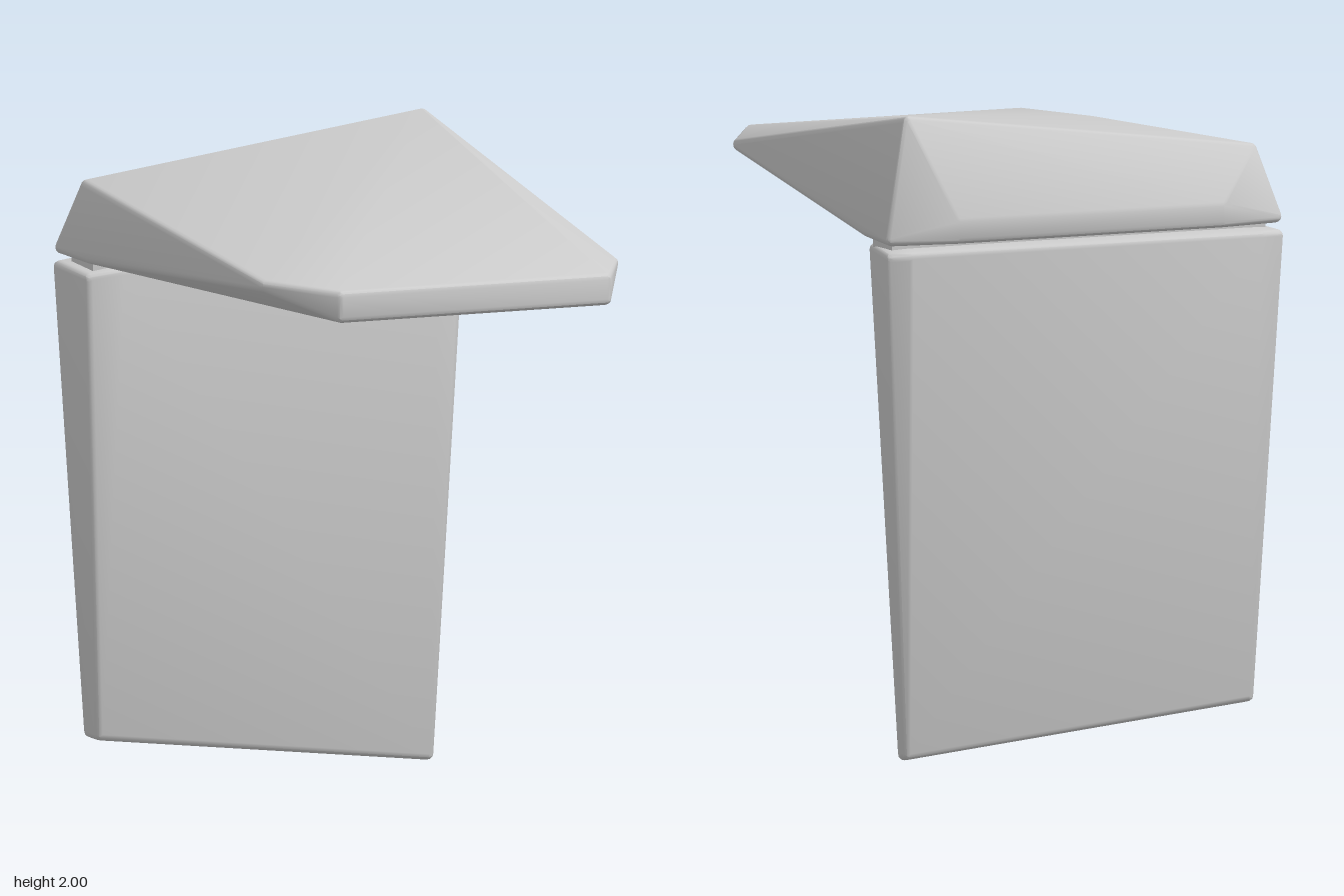
import * as THREE from 'three';
import { ConvexGeometry } from 'three/addons/geometries/ConvexGeometry.js';
import { toCreasedNormals } from 'three/addons/utils/BufferGeometryUtils.js';

// Convex block whose corners are small spheres, giving rounded edges.
// The sphere centres sit at the listed corners.
function roundedHull(corners, radius) {
  const ball = new THREE.IcosahedronGeometry(radius, 1).getAttribute('position');
  const points = [];
  const seen = new Set();
  for (const [x, y, z] of corners) {
    for (let i = 0; i < ball.count; i++) {
      const p = new THREE.Vector3(x, y, z).add(new THREE.Vector3().fromBufferAttribute(ball, i));
      const key = p.toArray().map((v) => v.toFixed(5)).join();
      if (!seen.has(key)) {
        seen.add(key);
        points.push(p);
      }
    }
  }
  return toCreasedNormals(new ConvexGeometry(points), 0.6);
}

export function createModel() {
  const grey = new THREE.MeshStandardMaterial({ color: 0xcccccc });
  grey.name = 'light grey';
  const model = new THREE.Group();
  model.name = 'angledSlabs';

  const add = (name, geometry) => {
    const mesh = new THREE.Mesh(geometry, grey);
    mesh.name = name;
    model.add(mesh);
  };

  // Wedge-shaped top: tilted upper face, thin clipped front, swollen back
  const top = [
    [-0.575, 1.832, -0.73], [0.54, 1.98, -0.73], // ridge
  ];
  for (const s of [-1, 1]) {
    top.push(
      [s * 0.44, 1.705, 0.86], [s * 0.44, 1.645, 0.86], // front lip
      [s * 0.575, 1.71, 0.61], // clipped side corner
      [s * 0.625, 1.635, -0.81], // widest back corner
      [s * 0.62, 1.632, -0.6],
      [s * 0.43, 1.69, -0.865], [s * 0.43, 1.64, -0.865], // back lip
    );
  }
  add('topSlab', roundedHull(top, 0.02));

  // Tapering upright panel with a slanted lower edge
  add('uprightPanel', roundedHull([
    [-0.53, 1.578, -0.58], [0.52, 1.578, -0.58], // front upper edge
    [-0.625, 1.565, -0.6], [0.59, 1.57, -0.585],
    [-0.63, 1.575, -0.81], [0.625, 1.575, -0.81], // back upper edge
    [-0.57, 1.578, -0.83], [0.57, 1.578, -0.83],
    [-0.56, 0.15, -0.67], [0.53, 0.022, -0.67], // lower edge
    [-0.56, 0.15, -0.74], [0.545, 0.035, -0.74],
  ], 0.02));

  // Hidden hinge strip bridging the gap
  const hinge = new THREE.BoxGeometry(1.22, 0.06, 0.16);
  hinge.translate(0, 1.6, -0.69);
  add('hingeStrip', hinge);

  return model;
}
